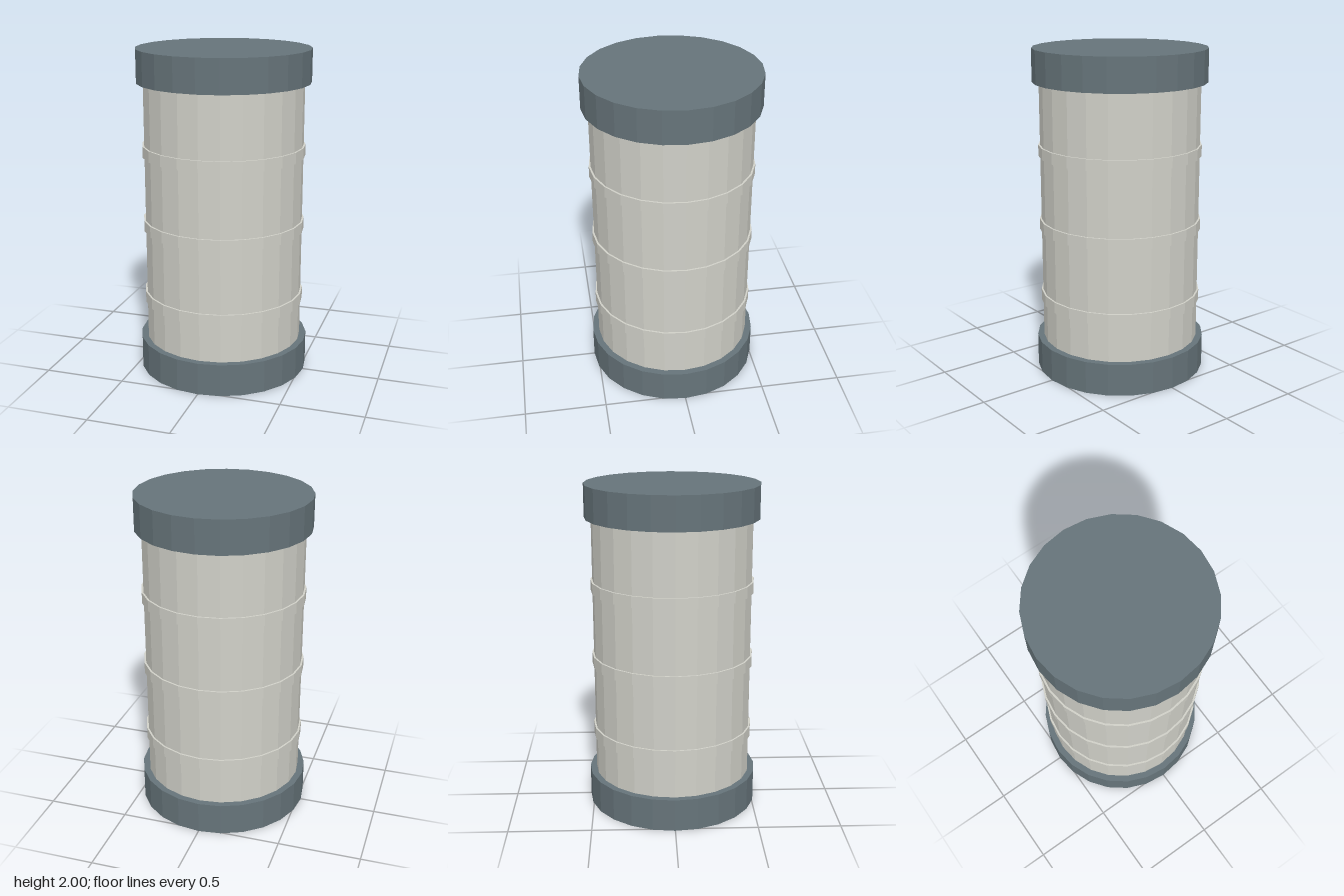
import * as THREE from 'three';

const SIDES = 24;

export function createModel() {
  const model = new THREE.Group();
  model.name = 'canister';

  const paleGrey = new THREE.MeshStandardMaterial({ color: 0xd0d0c8, flatShading: true });
  paleGrey.name = 'pale grey';
  const slate = new THREE.MeshStandardMaterial({ color: 0x66747a, flatShading: true });
  slate.name = 'slate';

  // Upright faceted drum between two heights
  function drum(name, radius, bottom, top, material) {
    const geometry = new THREE.CylinderGeometry(radius, radius, top - bottom, SIDES);
    const mesh = new THREE.Mesh(geometry, material);
    mesh.name = name;
    mesh.position.y = (bottom + top) / 2;
    model.add(mesh);
  }

  // Main shell
  drum('body', 0.484, 0.2, 1.8, paleGrey);

  // Raised hoops around the shell
  [0.47, 0.93, 1.39].forEach((y, i) => {
    drum(`hoop${i + 1}`, 0.495, y - 0.034, y + 0.034, paleGrey);
  });

  // End caps
  drum('bottomCap', 0.524, 0, 0.2, slate);
  drum('topCap', 0.524, 1.8, 2, slate);

  return model;
}
